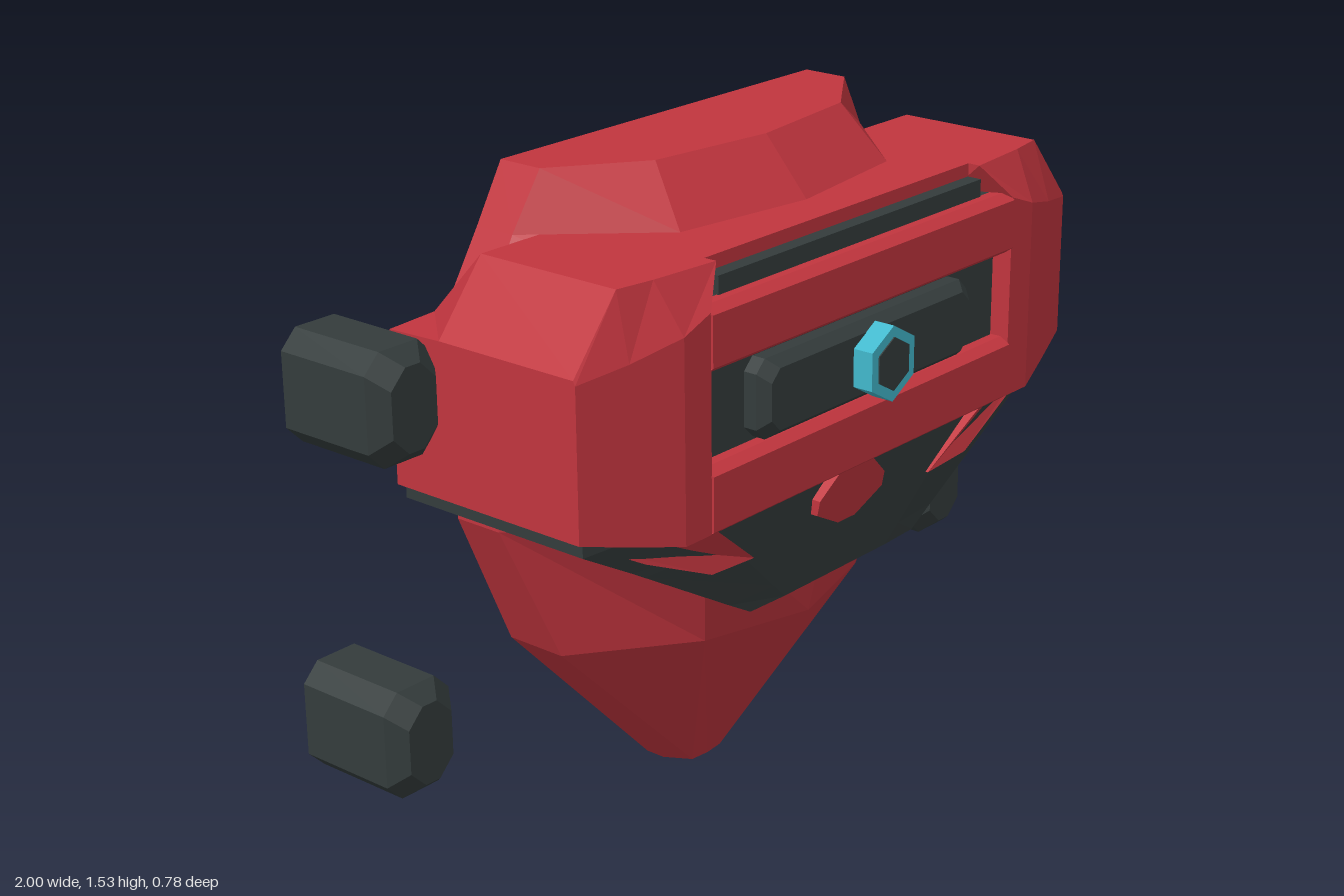
import * as THREE from 'three';

const red = new THREE.MeshStandardMaterial({ color: 0xc1353e });
red.name = 'red armour';
const dark = new THREE.MeshStandardMaterial({ color: 0x343c3c });
dark.name = 'dark metal';
const cyan = new THREE.MeshStandardMaterial({ color: 0x42b8cc });
cyan.name = 'cyan glow';

// Skin a row of convex rings with flat faces and capped ends, facing outward
function loft(rings) {
  const tris = [];
  const n = rings[0].length;
  const vec = rings.map((r) => r.map((p) => new THREE.Vector3(...p)));
  for (let i = 0; i < vec.length - 1; i++) {
    for (let j = 0; j < n; j++) {
      const k = (j + 1) % n;
      const [a, b, c, d] = [vec[i][j], vec[i][k], vec[i + 1][k], vec[i + 1][j]];
      tris.push([a, b, c], [a, c, d]);
    }
  }
  const first = vec[0];
  const last = vec[vec.length - 1];
  for (let j = 1; j < n - 1; j++) {
    tris.push([first[0], first[j + 1], first[j]], [last[0], last[j], last[j + 1]]);
  }
  let volume = 0;
  for (const [a, b, c] of tris) volume += a.dot(b.clone().cross(c));
  const pts = tris.flatMap(([a, b, c]) => (volume < 0 ? [a, c, b] : [a, b, c]));
  const geo = new THREE.BufferGeometry().setFromPoints(pts);
  geo.computeVertexNormals();
  return geo;
}

// Eight-sided block along z with a bevelled front
function chamferBlock(w, h, z0, z1, cut, bevel) {
  const ring = (z, inset) => {
    const x = w / 2 - inset;
    const y = h / 2 - inset;
    const c = cut * 0.9;
    return [[x, y - c, z], [x - c, y, z], [c - x, y, z], [-x, y - c, z],
      [-x, c - y, z], [c - x, -y, z], [x - c, -y, z], [x, c - y, z]];
  };
  return loft([ring(z0, 0), ring(z1 - bevel, 0), ring(z1, bevel * 0.8)]);
}

function polygon(points) {
  return new THREE.Shape(points.map(([x, y]) => new THREE.Vector2(x, y)));
}

function hexagon(r) {
  return Array.from({ length: 6 }, (_, i) => {
    const a = Math.PI / 2 + (i * Math.PI) / 3;
    return [r * Math.cos(a), r * Math.sin(a)];
  });
}

export function createModel() {
  const model = new THREE.Group();
  model.name = 'armouredChest';
  const add = (name, geo, mat, x = 0, y = 0, z = 0) => {
    const mesh = new THREE.Mesh(geo, mat);
    mesh.name = name;
    mesh.position.set(x, y, z);
    model.add(mesh);
    return mesh;
  };

  // Shield-shaped hull: height, half width, side depth, facet x, facet z, centre z
  const hull = [
    [0, 0.085, -0.2, 0.05, -0.14, -0.135],
    [0.46, 0.525, -0.1, 0.27, 0.09, 0.165],
    [0.79, 0.67, -0.13, 0.36, 0.17, 0.24],
    [1.27, 0.67, -0.14, 0.42, 0.19, 0.24],
    [1.41, 0.58, -0.15, 0.35, 0.1, 0.15],
    [1.535, 0.505, -0.14, 0.31, 0, 0.04],
  ].map(([y, w, zs, m, zm, zc]) => [
    [w, y, -0.25], [w, y, zs], [m, y, zm], [0, y, zc],
    [-m, y, zm], [-w, y, zs], [-w, y, -0.25],
  ]);
  add('hull', loft(hull), red);

  // Dark belly band: height, half width, back z, front z at sides, front z at middle
  const belly = [
    [0.58, 0.29, 0.165, 0.235, 0.24],
    [0.62, 0.36, 0.165, 0.235, 0.245],
    [0.78, 0.632, 0, 0.24, 0.262],
    [0.8, 0.666, -0.17, 0.24, 0.264],
    [0.885, 0.815, -0.247, 0.245, 0.275],
    [0.92, 0.815, -0.247, 0.245, 0.275],
  ].map(([y, w, zb, zs, zm]) => [
    [w, y, zb], [w, y, zs], [w * 0.62, y, zm],
    [-w * 0.62, y, zm], [-w, y, zs], [-w, y, zb],
  ]);
  add('bellyBand', loft(belly), dark);

  for (const s of [1, -1]) {
    const side = s > 0 ? 'left' : 'right';

    // Shoulder block, from the inner edge outward
    const shoulder = [
      [[0.5, 0.92, -0.25], [0.5, 1.26, -0.25], [0.46, 1.41, -0.11],
        [0.45, 1.41, 0.28], [0.52, 1.33, 0.325], [0.52, 0.86, 0.325]],
      [[0.62, 0.92, -0.25], [0.62, 1.26, -0.25], [0.62, 1.41, -0.11],
        [0.62, 1.41, 0.265], [0.6, 1.3, 0.325], [0.6, 0.86, 0.325]],
      [[0.71, 0.92, -0.25], [0.71, 1.26, -0.25], [0.71, 1.41, -0.11],
        [0.71, 1.41, 0.25], [0.72, 1.27, 0.29], [0.72, 0.89, 0.29]],
      [[0.835, 0.92, -0.25], [0.835, 1.255, -0.25], [0.835, 1.26, -0.11],
        [0.835, 1.26, 0.25], [0.835, 1.25, 0.255], [0.835, 0.92, 0.255]],
    ].map((ring) => ring.map(([x, y, z]) => [s * x, y, z]));
    add(side + 'Shoulder', loft(shoulder), red);

    // Swept red fin under the shoulder
    const outline = [[0.82, 0.915], [0.64, 0.815], [0.45, 0.73], [0.31, 0.72], [0.49, 0.86]];
    const fin = (dz) => outline.map(([x, y]) =>
      [s * x, y, 0.262 + dz + (y - 0.72) * 0.25 - Math.max(0, x - 0.5) * 0.24]);
    add(side + 'Fin', loft([fin(-0.04), fin(0)]), red);

    // Upper and lower side pods
    for (const [name, y] of [['UpperPod', 1.14], ['LowerPod', 0.402]]) {
      add(side + name, chamferBlock(0.185, 0.245, -0.39, -0.11, 0.045, 0.04), dark, s * 0.9075, y);
    }
  }

  // Chest core and its dark recess
  add('chestCore', new THREE.BoxGeometry(1.0, 0.51, 0.35), red, 0, 1.155, 0.075);
  add('chestRecess', new THREE.BoxGeometry(1.03, 0.48, 0.06), dark, 0, 1.1, 0.25);
  add('topSlot', new THREE.BoxGeometry(0.9, 0.06, 0.06), dark, 0, 1.35, 0.255);

  // Two horizontal chest bars
  for (const [name, y0, y1] of [['upperBar', 1.2, 1.34], ['lowerBar', 0.85, 1.0]]) {
    const bar = [-0.525, 0.525].map((x) => [
      [x, y0, 0.25], [x, y1, 0.25], [x, y1, 0.305],
      [x * 0.99, y1 - 0.015, 0.33], [x * 0.99, y0 + 0.015, 0.33], [x, y0, 0.31],
    ]);
    add(name, loft(bar), red);
  }

  // Red hexagonal boss below the bars
  const boss = (grow, dz) => [[-0.115, 0.79], [-0.05, 0.85], [0.05, 0.85],
    [0.115, 0.79], [0.115, 0.755], [0.03, 0.71], [-0.03, 0.71], [-0.115, 0.755]]
    .map(([x, y]) => [x * grow, y, 0.27 + dz + (y - 0.72) * 0.2]);
  add('bellyBoss', loft([boss(1, -0.04), boss(1, 0)]), red);

  // Centre plate and hexagonal lamp
  add('centrePlate', chamferBlock(0.73, 0.175, 0.27, 0.337, 0.03, 0.025), dark, 0, 1.095);
  const ring = polygon(hexagon(0.085));
  ring.holes.push(polygon(hexagon(0.06)));
  add('lampRing', new THREE.ExtrudeGeometry(ring, { depth: 0.05, bevelEnabled: false }),
    cyan, 0, 1.095, 0.336);
  add('lampCore', new THREE.ExtrudeGeometry(polygon(hexagon(0.06)), { depth: 0.053, bevelEnabled: false }),
    dark, 0, 1.095, 0.336);

  return model;
}
